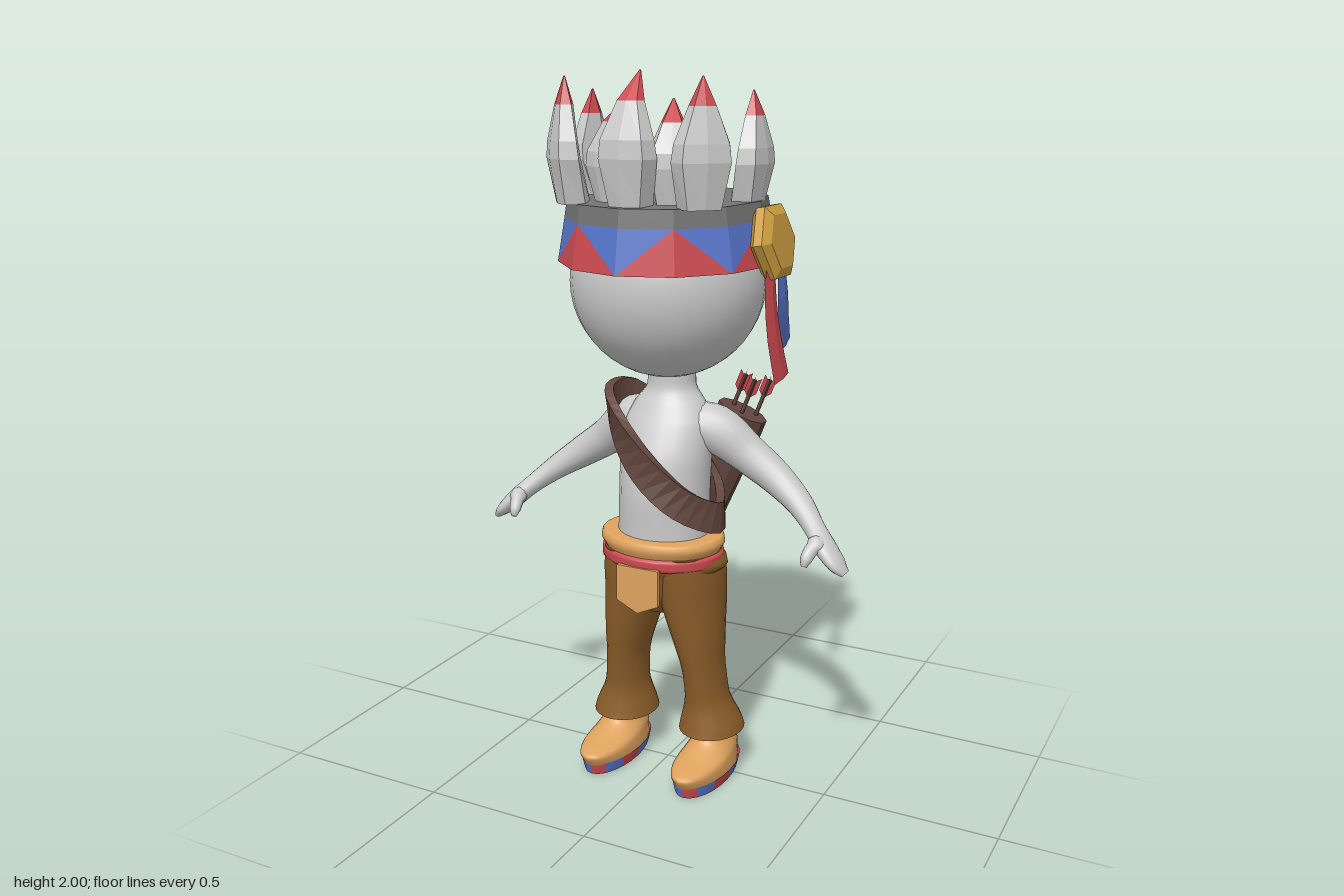
import * as THREE from 'three';

const V = (x, y, z) => new THREE.Vector3(x, y, z);
const mat = (color, flatShading = false, side = THREE.FrontSide) =>
  new THREE.MeshStandardMaterial({ color, flatShading, side });
const GREY = 0xcccccc, DARK = 0x747474, RED = 0xcc4a50, BLUE = 0x5876cc, TAN = 0xdfa35f,
  GOLD = 0xcf9f40, BROWN = 0x8c5e2a, LEATHER = 0x62463d;

// Skin over a series of point rings, with end caps unless the loop is closed
function skin(rings, { loop = false, caps = true } = {}) {
  const n = rings[0].length, m = rings.length;
  const pos = rings.flat().flatMap(p => [p.x, p.y, p.z]), idx = [];
  for (let i = 0; i < (loop ? m : m - 1); i++) for (let j = 0; j < n; j++) {
    const a = i * n + j, b = i * n + (j + 1) % n, k = ((i + 1) % m) * n;
    idx.push(a, b, k + j, b, k + (j + 1) % n, k + j);
  }
  if (!loop && caps) [rings[0], rings[m - 1]].forEach((ring, end) => {
    const base = pos.length / 3;
    ring.forEach(p => pos.push(p.x, p.y, p.z));
    for (let j = 1; j < n - 1; j++) idx.push(base, base + (end ? j : j + 1), base + (end ? j + 1 : j));
  });
  const g = new THREE.BufferGeometry();
  g.setAttribute('position', new THREE.Float32BufferAttribute(pos, 3));
  g.setIndex(idx);
  g.computeVertexNormals();
  return g;
}

// Triangles given as a flat list of points
function triangles(points) {
  const g = new THREE.BufferGeometry().setFromPoints(points);
  g.computeVertexNormals();
  return g;
}

// Smoothly interpolated horizontal ellipses: [y, centreX, centreZ, radiusX, radiusZ]
function stack(rows, seg = 24, sub = 4) {
  const centre = new THREE.CatmullRomCurve3(rows.map(r => V(r[1], r[0], r[2])));
  const radius = new THREE.CatmullRomCurve3(rows.map(r => V(r[3], 0, r[4])));
  const count = (rows.length - 1) * sub;
  return skin(Array.from({ length: count + 1 }, (_, i) => {
    const c = centre.getPoint(i / count), r = radius.getPoint(i / count);
    return Array.from({ length: seg }, (_, j) => {
      const a = j / seg * Math.PI * 2;
      return V(c.x + r.x * Math.sin(a), c.y, c.z + r.z * Math.cos(a));
    });
  }));
}

// Tapered limb along a path: [x, y, z, radius towards z, other radius]
function limb(rows, seg = 16, sub = 4) {
  const path = new THREE.CatmullRomCurve3(rows.map(r => V(r[0], r[1], r[2])));
  const radius = new THREE.CatmullRomCurve3(rows.map(r => V(r[3], r[4], 0)));
  const count = (rows.length - 1) * sub;
  return skin(Array.from({ length: count + 1 }, (_, i) => {
    const c = path.getPoint(i / count), r = radius.getPoint(i / count), t = path.getTangent(i / count);
    const u = V(0, 0, 1).addScaledVector(t, -t.z).normalize(), v = t.clone().cross(u);
    return Array.from({ length: seg }, (_, j) => {
      const a = j / seg * Math.PI * 2;
      return c.clone().addScaledVector(u, r.x * Math.cos(a)).addScaledVector(v, r.y * Math.sin(a));
    });
  }));
}

export function createModel() {
  const model = new THREE.Group();
  const add = (name, geometry, material, parent = model) => {
    const mesh = new THREE.Mesh(geometry, material);
    mesh.name = name;
    parent.add(mesh);
    return mesh;
  };
  const group = (name, parent = model) => {
    const g = new THREE.Group();
    g.name = name;
    parent.add(g);
    return g;
  };

  // Head and torso with neck
  add('head', new THREE.SphereGeometry(0.27, 32, 24), mat(GREY)).position.y = 1.448;
  add('torso', stack([[0.68, 0, 0.03, 0.135, 0.115], [0.76, 0, 0.025, 0.133, 0.122], [0.86, 0, 0.02, 0.13, 0.13],
    [0.96, 0, 0.012, 0.132, 0.122], [1.05, 0, -0.005, 0.128, 0.1], [1.1, 0, -0.015, 0.105, 0.083],
    [1.15, 0, -0.022, 0.07, 0.066], [1.22, 0, -0.022, 0.066, 0.066]]), mat(GREY));

  // Headband: zigzag of triangles on twelve sides, with a dark rim
  const band = group('headband');
  band.position.y = 1.585;
  band.rotation.x = 0.03;
  const corner = (k, r, y) => V(r * Math.sin(k * Math.PI / 6), y, r * Math.cos(k * Math.PI / 6));
  const low = k => corner(k, 0.302, -0.083), high = k => corner(k, 0.28, 0.035);
  const reds = [], blues = [];
  for (let k = 0; k < 12; k++) {
    const odd = k % 2 ? k : k + 1, even = k % 2 ? k + 1 : k;
    reds.push(low(k), low(k + 1), high(odd));
    blues.push(low(even), high(k + 1), high(k));
  }
  add('redZigzag', triangles(reds), mat(RED, true, THREE.DoubleSide), band);
  add('blueZigzag', triangles(blues), mat(BLUE, true, THREE.DoubleSide), band);
  const ring = pts => new THREE.LatheGeometry(pts.map(p => new THREE.Vector2(...p)), 12);
  add('headbandRim', ring([[0.28, 0.035], [0.272, 0.084], [0.14, 0.088]]), mat(DARK, true, THREE.DoubleSide), band);
  add('headbandUnderside', ring([[0.255, -0.08], [0.302, -0.083]]), mat(BLUE, true, THREE.DoubleSide), band);

  // Feathers: [x, z, facing angle, height, outward lean of the tip, scale of the width]
  const feathers = group('feathers');
  [[0, 0.21, 0, 0.34, -0.055, 1], ...[1, -1].flatMap(s => [
    [s * 0.085, 0.14, s * 0.42, 0.27, -0.045, 0.85], [s * 0.185, 0.185, s * 0.76, 0.325, 0.02, 1],
    [s * 0.22, -0.015, s * 1.57, 0.29, 0.02, 1]])].forEach(([x, z, angle, h, lean, w]) => {
    const rib = (t, hw, depth, out) => [[0, depth], [hw * 0.8, depth * 0.8], [hw, -depth * 0.35], [0, -depth],
      [-hw, -depth * 0.35], [-hw * 0.8, depth * 0.8]].map(([px, pz]) => V(px * w, h * t, pz + out));
    const f = group('feather', feathers);
    f.position.set(x, 1.66, z);
    f.rotation.y = angle;
    const neck = rib(0.78, 0.036, 0.024, lean * 0.3 + 0.015);
    add('featherVane', skin([rib(0, 0.056, 0.045, 0), rib(0.36, 0.08, 0.042, 0.022), rib(0.5, 0.074, 0.037, 0.024), neck]),
      mat(GREY, true), f);
    add('featherTip', skin([neck, rib(1, 0.002, 0.002, lean)]), mat(RED, true), f);
  });

  // Medallion and ribbons on the left side of the headband
  const medal = group('medallion');
  medal.position.set(0.308, 1.565, -0.005);
  medal.rotation.z = 0.17;
  const disc = (y, r) => Array.from({ length: 6 }, (_, j) => V(y, r * Math.sin(j * Math.PI / 3), -r * Math.cos(j * Math.PI / 3)));
  add('medallionDisc', skin([disc(-0.03, 0.085), disc(-0.012, 0.109), disc(0.012, 0.109), disc(0.028, 0.08)]), mat(GOLD, true), medal);
  add('redRibbon', limb([[0.318, 1.5, 0.035, 0.03, 0.006], [0.325, 1.42, 0.048, 0.038, 0.007],
    [0.338, 1.32, 0.05, 0.045, 0.007], [0.355, 1.21, 0.035, 0.05, 0.005]], 4, 2), mat(RED, true));
  add('blueRibbon', limb([[0.325, 1.5, -0.02, 0.025, 0.006], [0.325, 1.42, -0.035, 0.033, 0.007],
    [0.316, 1.34, -0.063, 0.036, 0.007], [0.304, 1.27, -0.1, 0.04, 0.005]], 4, 2), mat(BLUE, true));

  // Arms, trouser legs and shoes, one of each per side
  for (const s of [1, -1]) {
    const side = s > 0 ? 'left' : 'right';
    const mirror = rows => rows.map(([x, ...rest]) => [s * x, ...rest]);
    add(side + 'Arm', limb(mirror([[0.05, 1.045, -0.025, 0.07, 0.06], [0.13, 1.03, -0.035, 0.07, 0.068],
      [0.22, 0.965, -0.055, 0.058, 0.056], [0.31, 0.905, -0.055, 0.05, 0.047], [0.39, 0.85, -0.03, 0.042, 0.036],
      [0.45, 0.8, 0.008, 0.033, 0.028], [0.495, 0.757, 0.035, 0.042, 0.026], [0.53, 0.722, 0.045, 0.04, 0.02],
      [0.555, 0.698, 0.045, 0.02, 0.01]])), mat(GREY));
    add(side + 'Thumb', limb(mirror([[0.485, 0.775, 0.035, 0.02, 0.02], [0.47, 0.765, 0.07, 0.02, 0.02],
      [0.462, 0.74, 0.098, 0.017, 0.016], [0.46, 0.722, 0.106, 0.008, 0.008]]), 10), mat(GREY));
    add(side + 'TrouserLeg', stack([[0.135, s * 0.142, -0.004, 0.094, 0.108], [0.16, s * 0.141, -0.002, 0.088, 0.1],
      [0.24, s * 0.132, 0.008, 0.061, 0.08], [0.33, s * 0.124, 0.016, 0.058, 0.085], [0.43, s * 0.109, 0.02, 0.072, 0.1],
      [0.54, s * 0.09, 0.015, 0.089, 0.122], [0.62, s * 0.085, 0.018, 0.092, 0.13], [0.69, s * 0.08, 0.03, 0.088, 0.125]]), mat(BROWN));

    // Shoe with pointed toe and a chequered edge round the sole
    const shoe = group(side + 'Shoe');
    shoe.position.x = s * 0.15;
    add('shoeUpper', stack([[0.004, 0, 0.045, 0.066, 0.15], [0.03, 0, 0.05, 0.074, 0.158], [0.065, 0, 0.058, 0.072, 0.168],
      [0.085, 0, 0.02, 0.066, 0.122], [0.115, 0, -0.008, 0.054, 0.085], [0.17, -s * 0.008, -0.005, 0.05, 0.07]]), mat(TAN), shoe);
    const checks = [[], []];
    for (let j = 0; j < 24; j++) {
      const p = (k, y, g) => V((0.069 + g) * Math.sin(k * Math.PI / 12), y, 0.047 + (0.154 + g) * Math.cos(k * Math.PI / 12));
      const a = p(j, 0, 0), b = p(j + 1, 0, 0), c = p(j + 1, 0.036, 0.009), d = p(j, 0.036, 0.009);
      checks[(j >> 1) % 2].push(a, b, c, a, c, d);
    }
    add('redSoleChecks', triangles(checks[0]), mat(RED, true, THREE.DoubleSide), shoe);
    add('blueSoleChecks', triangles(checks[1]), mat(BLUE, true, THREE.DoubleSide), shoe);
  }

  // Hips, belt and front flap
  add('hips', stack([[0.5, 0, 0.015, 0.06, 0.075], [0.56, 0, 0.012, 0.14, 0.118], [0.63, 0, 0.018, 0.17, 0.132],
    [0.7, 0, 0.03, 0.17, 0.132]]), mat(BROWN));
  add('belt', stack([[0.68, 0, 0.033, 0.165, 0.135], [0.69, 0, 0.033, 0.172, 0.14], [0.715, 0, 0.033, 0.184, 0.149],
    [0.733, 0, 0.033, 0.177, 0.143], [0.736, 0, 0.033, 0.12, 0.1]]), mat(TAN));
  add('beltStripe', stack([[0.652, 0, 0.033, 0.168, 0.138], [0.66, 0, 0.033, 0.18, 0.148], [0.682, 0, 0.033, 0.181, 0.149],
    [0.692, 0, 0.033, 0.17, 0.138]]), mat(RED));
  const flap = new THREE.Shape([[-0.068, 0.665], [-0.068, 0.56], [-0.003, 0.53], [0.062, 0.56], [0.062, 0.665]]
    .map(p => new THREE.Vector2(...p)));
  add('frontFlap', new THREE.ExtrudeGeometry(flap, { depth: 0.012, bevelEnabled: false }), mat(TAN, true)).position.z = 0.174;

  // Shoulder strap: a flat band looping round the torso
  const loop = new THREE.CatmullRomCurve3([[-0.165, 1.1, 0.03], [-0.11, 1.05, 0.1], [0, 0.94, 0.147], [0.1, 0.845, 0.12],
    [0.165, 0.79, 0.02], [0.11, 0.82, -0.09], [0.02, 0.9, -0.128], [-0.08, 1.02, -0.105], [-0.15, 1.1, -0.05]]
    .map(p => V(...p)), true);
  add('shoulderStrap', skin(Array.from({ length: 36 }, (_, i) => {
    const p = loop.getPoint(i / 36), t = loop.getTangent(i / 36);
    const n = V(p.x, 0, p.z - 0.01).normalize();
    n.addScaledVector(t, -n.dot(t)).normalize();
    const b = t.clone().cross(n);
    return [[-0.012, -0.044], [0.013, -0.044], [0.013, 0.044], [-0.012, 0.044]]
      .map(([u, v]) => p.clone().addScaledVector(n, u).addScaledVector(b, v));
  }), { loop: true }), mat(LEATHER, true));

  // Quiver on the back with three arrows
  const quiver = group('quiver');
  quiver.position.set(0.085, 0.89, -0.178);
  quiver.rotation.z = -0.38;
  add('quiverCase', stack([[-0.185, 0, 0, 0.05, 0.032], [-0.165, 0, 0, 0.066, 0.044], [0.1, 0, 0, 0.077, 0.052],
    [0.175, 0, 0, 0.077, 0.052]], 10, 1), mat(LEATHER, true), quiver);
  [[-0.035, -0.008], [0.005, 0.018], [0.035, -0.018]].forEach(([x, z], i) => {
    const arrow = group('arrow', quiver);
    arrow.position.set(x, 0.16 + i * 0.008, z);
    add('arrowShaft', new THREE.CylinderGeometry(0.006, 0.006, 0.13, 6), mat(LEATHER), arrow).position.y = 0.05;
    const vane = new THREE.Shape([[-0.018, 0.075], [0, 0.055], [0.018, 0.075], [0.018, 0.125], [0, 0.108], [-0.018, 0.125]]
      .map(p => new THREE.Vector2(...p)));
    for (const turn of [0.4, 0.4 + Math.PI / 2])
      add('arrowFletching', new THREE.ShapeGeometry(vane), mat(RED, true, THREE.DoubleSide), arrow).rotation.y = turn;
  });

  return model;
}
